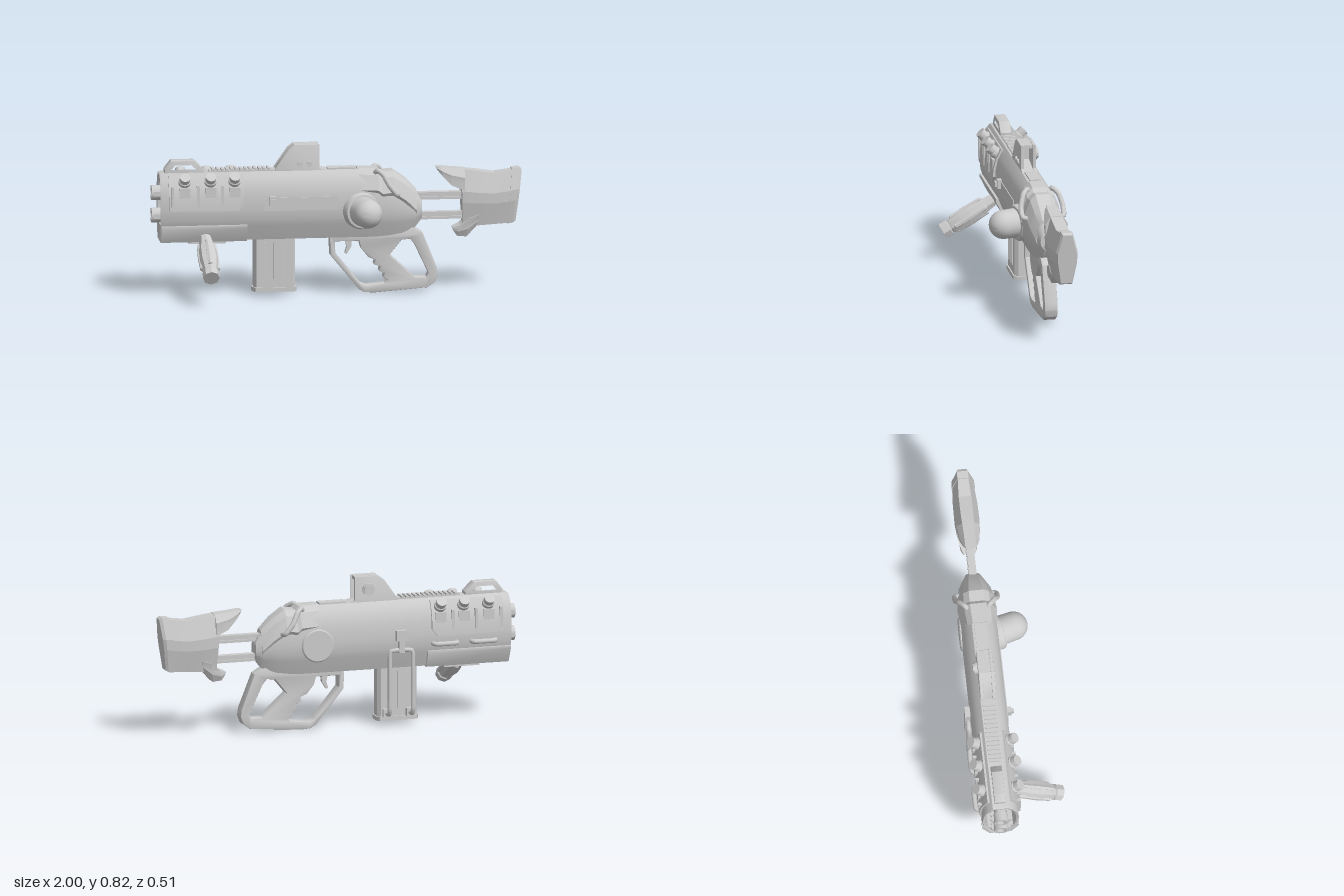
import * as THREE from 'three';
import { toCreasedNormals } from 'three/addons/utils/BufferGeometryUtils.js';

const mat = new THREE.MeshStandardMaterial({ color: 0xcccccc });
const V = (x, y, z) => new THREE.Vector3(x, y, z);

export function createModel() {
  const root = new THREE.Group();
  const gun = new THREE.Group();
  gun.name = 'blaster';
  gun.position.z = -0.118; // everything is built around its own centre plane
  root.add(gun);

  const add = (name, geo, crease = 0.6) => {
    const m = new THREE.Mesh(toCreasedNormals(geo, crease), mat);
    m.name = name;
    gun.add(m);
    return m;
  };
  const box = (name, x0, x1, y0, y1, z0, z1) =>
    add(name, new THREE.BoxGeometry(x1 - x0, y1 - y0, z1 - z0)).position.set((x0 + x1) / 2, (y0 + y1) / 2, (z0 + z1) / 2);
  // Side outline with holes, extruded across z
  const plate = (name, pts, z0, z1, holes = [], bevel = 0) => {
    const toV2 = (p) => p.map(([x, y]) => new THREE.Vector2(x, y));
    const s = new THREE.Shape(toV2(pts));
    holes.forEach((h) => s.holes.push(new THREE.Path(toV2(h))));
    const g = new THREE.ExtrudeGeometry(s, {
      depth: z1 - z0 - 2 * bevel, bevelEnabled: bevel > 0, bevelSize: bevel,
      bevelThickness: bevel, bevelOffset: -bevel, bevelSegments: 2,
    });
    return add(name, g.translate(0, 0, z0 + bevel));
  };
  const tube = (name, pts, r) =>
    add(name, new THREE.TubeGeometry(new THREE.CatmullRomCurve3(pts, false, 'catmullrom', 0.25), 48, r, 10), 1);
  // Turned part, its profile [radius, height] running along dir
  const turned = (name, profile, n, pos, dir) => {
    const m = add(name, new THREE.LatheGeometry(profile.map(([r, h]) => new THREE.Vector2(r, h)), n));
    m.position.copy(pos);
    m.quaternion.setFromUnitVectors(V(0, 1, 0), dir.clone().normalize());
    return m;
  };
  // Skin over rings of points, closed at both ends
  const loft = (name, rings, crease) => {
    const n = rings[0].length, pos = [], idx = [];
    rings.forEach((r) => r.forEach((p) => pos.push(p.x, p.y, p.z)));
    for (let i = 0; i < rings.length - 1; i++)
      for (let j = 0; j < n; j++) {
        const a = i * n + j, b = i * n + (j + 1) % n;
        idx.push(a, b, a + n, b, b + n, a + n);
      }
    [0, rings.length - 1].forEach((i) => {
      const c = rings[i].reduce((s, p) => s.add(p), V(0, 0, 0)).divideScalar(n);
      const k = pos.length / 3;
      pos.push(c.x, c.y, c.z);
      for (let j = 0; j < n; j++) {
        const a = i * n + j, b = i * n + (j + 1) % n;
        if (i) idx.push(k, a, b); else idx.push(k, b, a);
      }
    });
    const g = new THREE.BufferGeometry();
    g.setAttribute('position', new THREE.Float32BufferAttribute(pos, 3));
    g.setIndex(idx);
    return add(name, g, crease);
  };
  // Full ring from half a section [z, y], top to bottom
  const mirrorRing = (half, xAt) => [...half, ...half.map(([z, y]) => [-z, y]).reverse()].map(([z, y]) => V(xAt(y), y, z));

  // Main body: rounded section, recessed muzzle, tapering tail
  const section = [[.042, 1], [.066, .93], [.086, .82], [.097, .68], [.1, .48], [.095, .32], [.083, .22], [.05, 0]];
  const bodyRing = (x, top, bot, w) => mirrorRing(section.map(([z, t]) => [z * w, bot + (top - bot) * t]), () => x);
  loft('body', [
    bodyRing(-.86, .655, .335, .84), bodyRing(-.955, .655, .335, .84), bodyRing(-.96, .675, .315, .96),
    bodyRing(-.95, .68, .31, 1), bodyRing(.1, .68, .31, 1), bodyRing(.2, .67, .31, .99), bodyRing(.28, .65, .315, .92),
    bodyRing(.35, .62, .325, .8), bodyRing(.42, .56, .35, .6), bodyRing(.46, .5, .4, .42),
  ], 0.7);

  // Muzzle barrels
  for (const y of [.57, .447]) {
    turned('barrel', [[0, 0], [.032, 0], [.032, .09], [.04, .09], [.04, .14], [.024, .14], [.024, .08], [0, .08]], 20, V(-.86, y, 0), V(-1, 0, 0));
    for (const s of [-1, 1]) box('barrelLug', -.99, -.86, y - .012, y + .012, s * .043 - .008, s * .043 + .008);
  }

  // Lower handguard and foregrip mount
  const chin = (x) => mirrorRing([[.099, .4], [.1, .385], [.06, .305]], () => x);
  loft('lowerHandguard', [chin(-.955), chin(-.49)]);
  box('gripRail', -.8, -.6, .29, .32, -.035, .035);
  const gripDir = V(0, -.5, .86);
  turned('foregrip', [[0, 0], [.034, 0], [.04, .05], [.052, .11], [.054, .19], [.044, .26], [.038, .275], [.045, .28], [.045, .322], [0, .322]],
    8, V(-.715, .326, .07), gripDir);
  for (let i = 0; i < 4; i++) {
    const a = i * Math.PI / 2;
    const r = turned('foregripPanel', [[0, .05], [.012, .06], [.016, .16], [.012, .25], [0, .255]], 6, V(-.715, .326, .07), gripDir);
    r.translateX(Math.cos(a) * .042);
    r.translateZ(Math.sin(a) * .042);
  }

  // Side pods with slots and diagonal knobs, on both sides
  const podOuter = [[.066, .672], [.094, .62], [.11, .56], [.112, .48]];
  const podInner = [[.08, .48], [.08, .56], [.07, .61], [.045, .66]];
  for (const s of [-1, 1]) {
    const pod = (x, low) => {
      const r = [...podOuter, ...podInner].map(([z, y]) => V(x, Math.max(y, low), z * s));
      return s < 0 ? r.reverse() : r;
    };
    loft('sidePod', [pod(-.915, .49), pod(-.895, .485), pod(-.54, .48), pod(-.51, .52)], 0.3);
    for (const x of [-.83, -.69, -.56]) {
      turned('knob', [[0, 0], [.027, 0], [.027, .03], [.033, .032], [.033, .05], [.028, .055], [.028, .085], [0, .085]],
        18, V(x, .612, s * .06), V(0, 1, s));
      box('podRib', x - .075, x - .06, .51, .62, s * .106 - .01, s * .106 + .01);
      box('podStep', x - .03, x + .03, .555, .61, s * .1 - .012, s * .1 + .012);
    }
  }
  // Carry hoops on the back side
  for (const x of [-.8, -.585])
    tube('sideHoop', [V(x - .065, .44, -.085), V(x - .065, .44, -.11), V(x - .05, .44, -.124), V(x + .05, .44, -.124),
      V(x + .065, .44, -.11), V(x + .065, .44, -.085)], .013);

  // Front sight bridge and toothed rail
  plate('frontSight', [[-.93, .67], [-.93, .7], [-.895, .745], [-.77, .745], [-.72, .695], [-.72, .67]], -.03, .03,
    [[[-.9, .695], [-.875, .725], [-.785, .725], [-.755, .695]]], .004);
  box('railBase', -.69, -.33, .67, .688, -.03, .03);
  for (let i = 0; i < 13; i++) box('railTooth', -.675 + i * .025, -.66 + i * .025, .685, .697, -.034, .034);
  box('topPlate', -.05, .1, .67, .688, -.03, .03);

  // Optic housing: walls, roof, sloped front, dials
  for (const s of [-1, 1])
    plate('opticWall', [[-.335, .64], [-.335, .69], [-.262, .795], [-.23, .82], [-.095, .82], [-.095, .69], [-.055, .68], [-.055, .64]],
      s * .033 - .009, s * .033 + .009, [], .003);
  plate('opticShell', [[-.33, .65], [-.33, .69], [-.26, .793], [-.23, .818], [-.1, .818], [-.1, .8], [-.2, .8], [-.2, .71], [-.06, .68], [-.06, .65]], -.03, .03);
  turned('opticDial', [[0, 0], [.033, 0], [.033, .018], [.026, .018], [.026, .026], [0, .026]], 20, V(-.17, .75, -.04), V(0, 0, -1));
  for (const x of [-.2, -.15]) turned('opticScrew', [[0, 0], [.014, 0], [.014, .012], [0, .012]], 14, V(x, .715, .04), V(0, 0, 1));

  // Ejection panel and bolt lever on the front side
  box('ejectionPanel', -.4, .0, .475, .545, .09, .102);
  box('boltLever', -.372, -.338, .505, .555, .09, .122);
  box('boltTip', -.365, -.345, .515, .545, .12, .135);

  // Domed sensor, leaning back, with a round cover opposite
  turned('sensorDome', [[0, -.02], [.1, -.02], [.1, .02], [.092, .035], [.08, .037], [.078, .1],
    ...Array.from({ length: 9 }, (_, i) => [.078 * Math.cos(i * Math.PI / 16), .104 + .078 * Math.sin(i * Math.PI / 16)])],
  32, V(.125, .463, .085), V(.25, 0, 1));
  turned('roundCover', [[0, 0], [.09, 0], [.09, .015], [.084, .02], [0, .02]], 32, V(.13, .47, -.088), V(0, 0, -1));

  // Raised tail armour and bent pipes
  const armour = (x, top, w) => mirrorRing([[.04 * w, top], [.072 * w, top - .03], [.104 * w, top - .11], [.09 * w, top - .13]], () => x);
  loft('tailArmour', [armour(.11, .685, .9), armour(.22, .682, 1.02), armour(.24, .662, 1), armour(.3, .668, .95), armour(.37, .62, .82), armour(.43, .56, .6)], 0.3);
  for (const s of [-1, 1])
    tube('tailPipe', [V(.2, .65, s * .05), V(.215, .675, s * .068), V(.245, .655, s * .095), V(.275, .6, s * .113),
      V(.315, .55, s * .112), V(.33, .54, s * .06)], .014);

  // Pistol grip frame with trigger guard and finger grooves
  plate('gripFrame', [[-.04, .33], [-.035, .21], [.12, .02], [.15, .004], [.2, 0], [.49, .022], [.53, .05], [.545, .09], [.54, .13], [.465, .32], [.4, .36]],
    -.036, .036, [
      [[-.01, .285], [-.008, .22], [.13, .05], [.16, .04], [.26, .05], [.275, .065], [.25, .082], [.258, .105], [.228, .118],
        [.235, .142], [.2, .155], [.208, .178], [.17, .195], [.13, .245], [.12, .285]],
      [[.285, .205], [.35, .285], [.395, .29], [.42, .26], [.495, .1], [.485, .078], [.42, .08]],
    ], .006);
  plate('trigger', [[.045, .3], [.085, .3], [.08, .25], [.055, .21], [.045, .215], [.055, .25]], -.012, .012);

  // Magazine: rounded front edge, flared foot
  const magOutline = (g) => [[-.45 - g, -.02], [-.435 - g, -.045 - g], [-.24 + g, -.047 - g], [-.225 + g, -.03], [-.225 + g, .03],
    [-.24 + g, .047 + g], [-.435 - g, .045 + g], [-.45 - g, .02]];
  const mag = (name, g, y0, y1) => loft(name, [y0, y1].map((y) => magOutline(g).map(([x, z]) => V(x, y, z)).reverse()));
  mag('magazine', 0, .035, .34);
  mag('magazineFoot', .007, .022, .045);
  for (const x of [-.39, -.34, -.29]) box('magazineRib', x - .006, x + .006, .09, .29, -.052, .052);

  // Latch loop beside the magazine
  const loopSide = [[.065, -.04], [.065, -.095], [.09, -.112], [.395, -.112]];
  tube('latchLoop', [...loopSide.map(([y, z]) => V(-.4, y, z)), V(-.38, .418, -.112), V(-.29, .418, -.112),
    ...loopSide.slice().reverse().map(([y, z]) => V(-.27, y, z))], .012);
  for (const x of [-.4, -.27]) box('loopBracket', x - .022, x + .022, .045, .088, -.072, -.04);
  box('latchBlock', -.365, -.305, .47, .527, -.128, -.09);
  box('latchHook', -.35, -.32, .405, .48, -.126, -.1);

  // Stock rails
  for (const y of [.52, .412]) {
    box('stockRail', .38, .78, y + .006, y + .02, -.02, .02);
    box('stockRail', .38, .78, y - .02, y - .006, -.02, .02);
    box('railCore', .38, .78, y - .01, y + .01, -.01, .01);
  }

  // Stock: faceted sections [xTop, xBottom, top, bottom, widths]
  const stockRing = ([xt, xb, t, b, wt, wm, wb]) => mirrorRing(
    [[wt, t], [wm, t - (t - b) * .38], [wm * .97, t - (t - b) * .58], [wb, b]],
    (y) => xt + (xb - xt) * (t - y) / (t - b));
  const stock = (name, secs) => loft(name, secs.map(stockRing), 0.15);
  stock('stock', [[.67, .68, .665, .36, .032, .062, .036], [.75, .75, .655, .355, .034, .068, .038], [.85, .84, .64, .36, .034, .066, .036], [.955, .925, .655, .365, .028, .058, .034]]);
  stock('buttPad', [[.945, .92, .662, .362, .03, .063, .036], [.985, .95, .665, .366, .03, .06, .035], [1, .965, .655, .375, .024, .05, .03]]);
  stock('stockCheek', [[.535, .545, .68, .66, .026, .028, .028], [.56, .575, .678, .625, .03, .042, .042], [.61, .62, .672, .58, .03, .054, .054], [.69, .69, .665, .55, .032, .062, .062]]);
  stock('stockToe', [[.625, .635, .345, .32, .03, .032, .03], [.665, .65, .36, .3, .045, .045, .03], [.715, .7, .4, .295, .058, .05, .03], [.77, .75, .42, .35, .06, .052, .036]]);

  return root;
}
